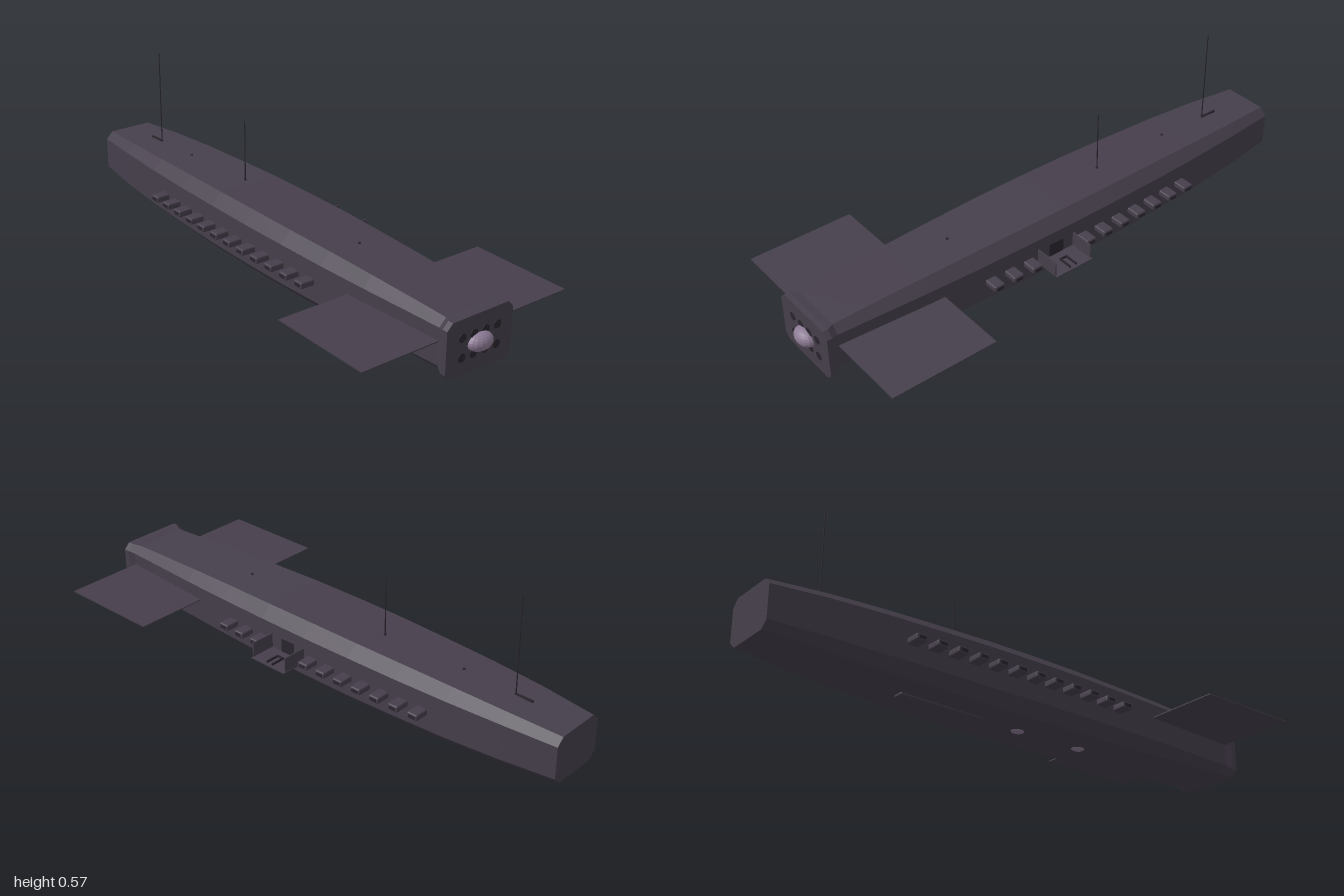
import * as THREE from 'three';
import { RoundedBoxGeometry } from 'three/addons/geometries/RoundedBoxGeometry.js';

const hullMat = new THREE.MeshStandardMaterial({ color: 0x463f4c, flatShading: true, side: THREE.DoubleSide });
const darkMat = new THREE.MeshStandardMaterial({ color: 0x2a252e });
const glassMat = new THREE.MeshStandardMaterial({ color: 0x8c7a94, flatShading: true });

// Hull stations: z, half width, bottom y, top y, corner cut
const STATIONS = [
  [-1.0, 0.108, 0.042, 0.210, 0.026],
  [-0.8, 0.130, 0.029, 0.221, 0.032],
  [-0.6, 0.145, 0.019, 0.228, 0.037],
  [-0.4, 0.154, 0.013, 0.232, 0.040],
  [-0.2, 0.160, 0.010, 0.235, 0.041],
  [0.0, 0.162, 0.009, 0.236, 0.042],
  [0.2, 0.160, 0.010, 0.235, 0.041],
  [0.4, 0.154, 0.013, 0.232, 0.040],
  [0.6, 0.145, 0.020, 0.227, 0.036],
  [0.8, 0.132, 0.029, 0.219, 0.030],
  [0.92, 0.125, 0.034, 0.214, 0.026],
  [0.945, 0.136, 0.026, 0.218, 0.022],
  [0.965, 0.136, 0.026, 0.218, 0.022],
];

// Octagonal cross-section, counter-clockwise seen from the front
function section([z, w, b, t, c]) {
  return [[w - c, b], [w, b + c], [w, t - c], [w - c, t], [c - w, t], [-w, t - c], [-w, b + c], [c - w, b]]
    .map(([x, y]) => [x, y, z]);
}

function hullGeometry() {
  const rings = STATIONS.map(section);
  const p = [];
  const tri = (a, b, c) => p.push(...a, ...b, ...c);
  for (let i = 0; i < rings.length - 1; i++) {
    for (let j = 0; j < 8; j++) {
      const k = (j + 1) % 8;
      const a = rings[i], b = rings[i + 1];
      tri(a[j], a[k], b[k]);
      tri(a[j], b[k], b[j]);
    }
  }
  // End caps
  const back = rings[0], front = rings[rings.length - 1];
  for (let j = 1; j < 7; j++) {
    tri(front[0], front[j], front[j + 1]);
    tri(back[0], back[j + 1], back[j]);
  }
  const g = new THREE.BufferGeometry();
  g.setAttribute('position', new THREE.Float32BufferAttribute(p, 3));
  g.computeVertexNormals();
  return g;
}

// Interpolated station value at z (1 = half width, 2 = bottom, 3 = top)
function hullAt(z, n) {
  let i = 0;
  while (i < STATIONS.length - 2 && STATIONS[i + 1][0] < z) i++;
  const a = STATIONS[i], b = STATIONS[i + 1];
  return THREE.MathUtils.lerp(a[n], b[n], (z - a[0]) / (b[0] - a[0]));
}

export function createModel() {
  const model = new THREE.Group();
  const add = (name, geo, x, y, z, mat = hullMat, parent = model) => {
    const m = new THREE.Mesh(geo, mat);
    m.name = name;
    m.position.set(x, y, z);
    parent.add(m);
    return m;
  };
  const box = (w, h, d) => new THREE.BoxGeometry(w, h, d);

  add('hull', hullGeometry(), 0, 0, 0);

  // Nose dome and the eight ports around it
  add('noseDome', new THREE.SphereGeometry(1, 16, 12), 0, 0.122, 0.965, glassMat).scale.set(0.049, 0.031, 0.035);
  const portGeo = new THREE.CylinderGeometry(0.015, 0.015, 0.004, 20).rotateX(Math.PI / 2);
  for (const x of [-0.072, -0.024, 0.024, 0.072])
    for (const y of [0.088, 0.155]) add('nosePort', portGeo, x, y, 0.9645, darkMat);

  // Side windows in protruding frames; the left side leaves a gap for the balcony
  const frameGeo = new RoundedBoxGeometry(0.08, 0.023, 0.042, 2, 0.006);
  const paneGeo = box(0.003, 0.011, 0.026);
  for (const side of [-1, 1]) {
    for (let i = 0; i < 12; i++) {
      if (side > 0 && (i === 3 || i === 4)) continue;
      const z = 0.35 - i * 0.0782;
      const outer = hullAt(z, 1) + 0.052;
      add('windowFrame', frameGeo, side * (outer - 0.04), 0.122, z);
      add('windowPane', paneGeo, side * outer, 0.122, z, darkMat);
    }
    // Thin fins near the bow
    add('fin', box(0.31, 0.004, 0.39), side * 0.265, 0.142, 0.725);
  }

  // Open balcony: floor, two end walls and a small seat
  const balcony = new THREE.Group();
  balcony.name = 'balcony';
  model.add(balcony);
  add('balconyFloor', box(0.11, 0.004, 0.156), 0.207, 0.099, 0.075, hullMat, balcony);
  for (const z of [0, 0.152]) add('balconyWall', box(0.1, 0.058, 0.004), 0.204, 0.126, z, hullMat, balcony);
  add('balconyDoor', box(0.004, 0.05, 0.06), 0.161, 0.126, 0.075, darkMat, balcony);
  for (const z of [0.062, 0.088]) add('balconyRail', box(0.055, 0.008, 0.004), 0.225, 0.105, z, darkMat, balcony);
  add('balconyRail', box(0.004, 0.008, 0.03), 0.2, 0.105, 0.075, darkMat, balcony);

  // Masts with their feet
  for (const [x, z, top] of [[0, -0.765, 0.575], [0.012, -0.235, 0.46]]) {
    const foot = hullAt(z, 3) - 0.005;
    add('mast', new THREE.CylinderGeometry(0.0018, 0.0022, top - foot, 8), x, (top + foot) / 2, z, darkMat);
    add('mastFoot', new THREE.CylinderGeometry(0.004, 0.006, 0.01, 10), x, foot + 0.005, z, darkMat);
  }
  add('mastRail', box(0.008, 0.008, 0.06), 0, 0.222, -0.8, darkMat);

  // Small deck fittings
  for (const z of [0.41, -0.56])
    add('deckFitting', new THREE.CylinderGeometry(0.005, 0.005, 0.006, 10), 0, hullAt(z, 3) + 0.001, z, darkMat);

  // Belly: two lamps and a long keel blister
  for (const z of [0.3, 0.03])
    add('bellyLamp', new THREE.SphereGeometry(1, 12, 8), 0, hullAt(z, 2), z, glassMat).scale.set(0.02, 0.007, 0.025);
  add('keelBlister', new RoundedBoxGeometry(0.04, 0.012, 0.34, 2, 0.005), 0, 0.01, -0.29);

  return model;
}
